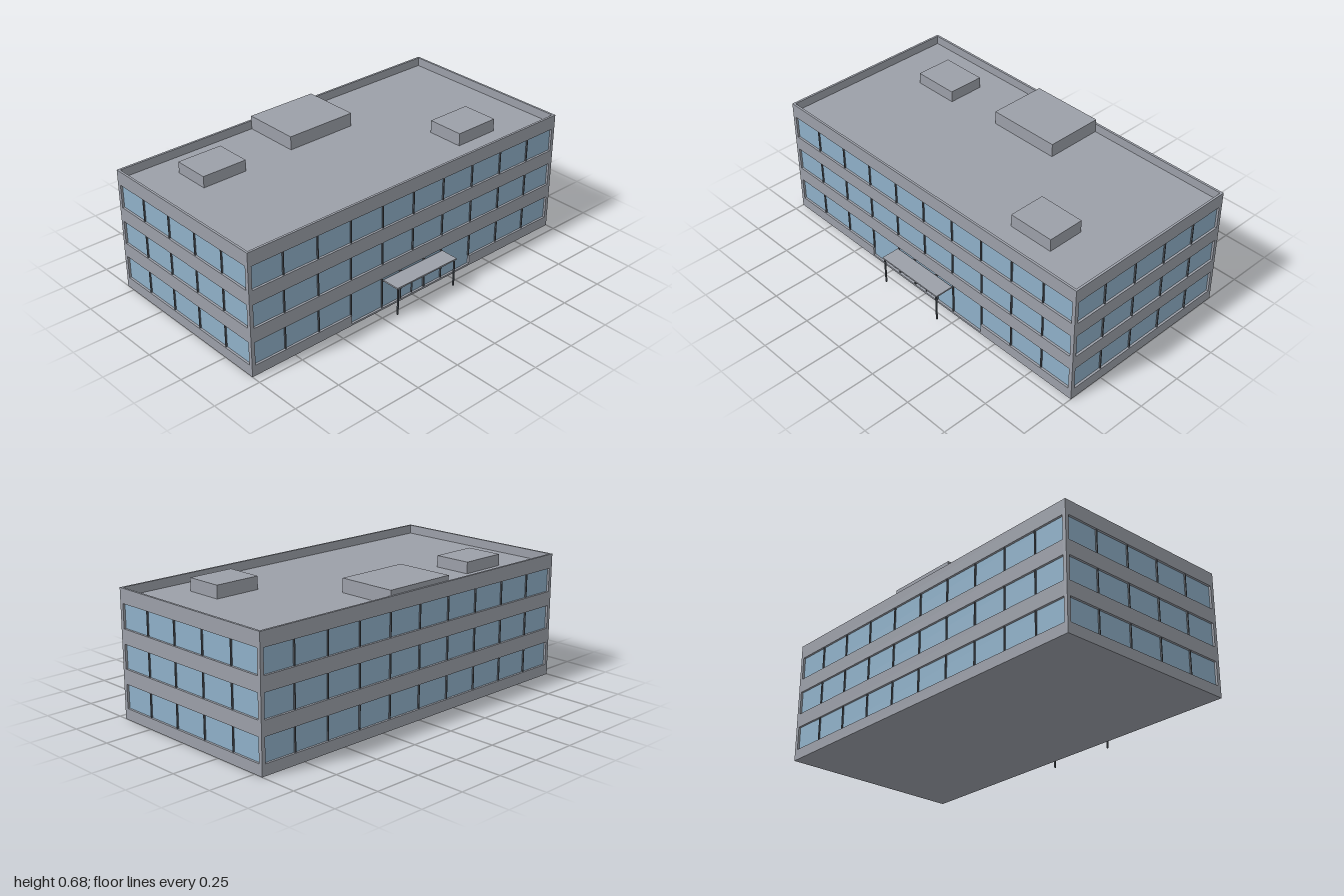
import * as THREE from 'three';

const FRONT = 0.45, BACK = -0.55, MID = (FRONT + BACK) / 2;
const HEIGHT = 0.656, ROOF = 0.61, WALL = 0.012;
const FLOORS = [[0.057, 0.181], [0.257, 0.381], [0.457, 0.581]];

const concrete = new THREE.MeshStandardMaterial({ name: 'concrete', color: 0x9b9fa8 });
const glass = new THREE.MeshStandardMaterial({ name: 'windowGlass', color: 0x8fb0c8 });
const metal = new THREE.MeshStandardMaterial({ name: 'darkMetal', color: 0x555b63 });

function box(parent, name, material, w, h, d, x, y, z) {
  const mesh = new THREE.Mesh(new THREE.BoxGeometry(w, h, d), material);
  mesh.name = name;
  mesh.position.set(x, y, z);
  parent.add(mesh);
  return mesh;
}

function polygon(points, Type = THREE.Path) {
  return new Type(points.map(([x, y]) => new THREE.Vector2(x, y)));
}

// One facade with recessed ribbon windows; its outer face lies on z = 0
function facade(name, wallWidth, windowWidth, entrance) {
  const group = new THREE.Group();
  group.name = name;
  const w = wallWidth / 2, g = windowWidth / 2;
  const shape = polygon([[-w, 0], [w, 0], [w, HEIGHT], [-w, HEIGHT]], THREE.Shape);
  FLOORS.forEach(([low, high], floor) => {
    const door = entrance && floor === 0;
    shape.holes.push(polygon(door
      ? [[-g, low], [-g, high], [g, high], [g, low], [0.4, low], [0.4, 0.01], [-0.4, 0.01], [-0.4, low]]
      : [[-g, low], [-g, high], [g, high], [g, low]]));

    // Mullions every 0.2, longer where the entrance glazing reaches the ground
    const bays = Math.round(wallWidth / 0.2);
    for (let i = 1; i < bays; i++) {
      const x = (i - bays / 2) * 0.2;
      if (door && Math.abs(x) < 0.1) continue;
      const bottom = door && Math.abs(x) < 0.3 ? 0.01 : low;
      box(group, 'mullion', metal, 0.006, high - bottom, 0.008, x, (high + bottom) / 2, -WALL + 0.004);
    }
  });
  const wall = new THREE.Mesh(
    new THREE.ExtrudeGeometry(shape, { depth: WALL, bevelEnabled: false }), concrete);
  wall.name = 'wall';
  wall.position.z = -WALL;
  group.add(wall);

  // Glazing sits just behind the wall openings
  FLOORS.forEach(([low, high]) => {
    box(group, 'windowBand', glass, windowWidth, high - low, 0.004, 0, (low + high) / 2, -WALL - 0.0015);
  });
  if (entrance) {
    box(group, 'entranceGlass', glass, 0.8, 0.06, 0.004, 0, 0.034, -WALL - 0.0015);
  }
  return group;
}

export function createModel() {
  const model = new THREE.Group();
  model.name = 'officeBuilding';

  // Four facades
  const front = facade('frontFacade', 2, 1.96, true);
  front.position.z = FRONT;
  const back = facade('backFacade', 2, 1.96, false);
  back.position.z = BACK;
  back.rotation.y = Math.PI;
  model.add(front, back);
  for (const side of [-1, 1]) {
    const end = facade(side > 0 ? 'leftFacade' : 'rightFacade', 1 - 2 * WALL, 0.96, false);
    end.position.set(side, 0, MID);
    end.rotation.y = side * Math.PI / 2;
    model.add(end);
  }

  // Floor and roof slabs inside the walls; the walls rise above as a parapet
  const innerW = 2 - 2 * WALL, innerD = 1 - 2 * WALL;
  box(model, 'floorSlab', concrete, innerW, 0.01, innerD, 0, 0.005, MID);
  box(model, 'roofSlab', concrete, innerW, 0.02, innerD, 0, ROOF - 0.01, MID);

  // Rooftop units: x, z, width, depth, top
  for (const [x, z, w, d, top] of [
    [-0.625, -0.3, 0.25, 0.2, 0.67],
    [0, -0.3825, 0.4, 0.315, 0.682],
    [0.575, 0.2, 0.25, 0.2, 0.677],
  ]) {
    box(model, 'rooftopUnit', concrete, w, top - ROOF, d, x, (top + ROOF) / 2, z);
  }

  // Entrance canopy with slim posts
  const entrance = new THREE.Group();
  entrance.name = 'entrance';
  model.add(entrance);
  box(entrance, 'canopy', concrete, 0.4, 0.008, 0.1, 0, 0.168, FRONT + 0.05);
  for (const side of [-1, 1]) {
    box(entrance, 'canopyPost', metal, 0.007, 0.149, 0.007, side * 0.19, 0.0895, FRONT + 0.093);
    box(entrance, 'doorFrame', metal, 0.008, 0.171, 0.01, side * 0.08, 0.0955, FRONT - 0.007);
  }
  box(entrance, 'doorSeam', metal, 0.003, 0.13, 0.008, 0, 0.075, FRONT - 0.008);
  return model;
}
